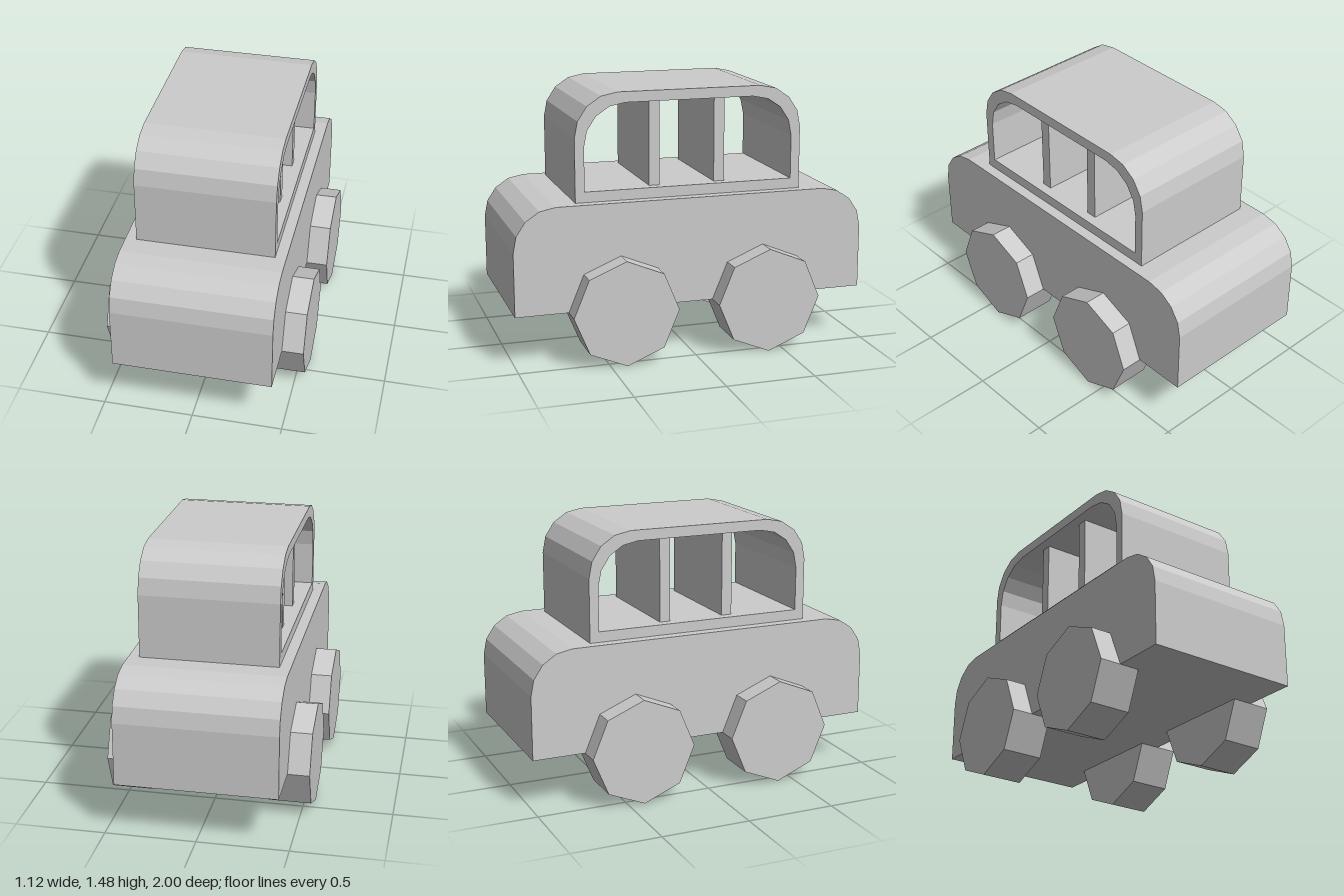
import * as THREE from 'three';

const material = new THREE.MeshStandardMaterial({ color: 0xcccccc, flatShading: true });

// Side outline: flat bottom, two rounded upper corners
function roundedTop(path, half, bottom, top, r) {
  path.moveTo(-half, bottom);
  path.lineTo(half, bottom);
  path.lineTo(half, top - r);
  path.absarc(half - r, top - r, r, 0, Math.PI / 2, false);
  path.absarc(-half + r, top - r, r, Math.PI / 2, Math.PI, false);
  path.closePath();
  return path;
}

// Extrude a side outline across the full width of the car
function acrossWidth(shape, width) {
  const g = new THREE.ExtrudeGeometry(shape, { depth: width, bevelEnabled: false, curveSegments: 2 });
  return g.translate(0, 0, -width / 2).rotateY(Math.PI / 2);
}

export function createModel() {
  const car = new THREE.Group();
  car.name = 'toyCar';
  const add = (name, geometry, x = 0, y = 0, z = 0) => {
    const mesh = new THREE.Mesh(geometry, material);
    mesh.name = name;
    mesh.position.set(x, y, z);
    car.add(mesh);
  };

  // Solid lower body
  add('body', acrossWidth(roundedTop(new THREE.Shape(), 1, 0.295, 0.885, 0.235), 0.88));

  // Cabin shell, open at both sides
  const cabin = roundedTop(new THREE.Shape(), 0.645, 0.885, 1.475, 0.24);
  cabin.holes.push(roundedTop(new THREE.Path(), 0.593, 0.943, 1.417, 0.23));
  add('cabin', acrossWidth(cabin, 0.76));

  // Partitions between the windows, set in from the cabin sides
  for (const z of [-0.187, 0.187]) {
    add('partition', new THREE.BoxGeometry(0.65, 0.48, 0.06), 0, 1.18, z);
  }

  // Eight-sided wheels
  const wheel = new THREE.CylinderGeometry(0.295, 0.295, 0.235, 8).rotateZ(Math.PI / 2);
  for (const x of [-1, 1]) {
    for (const z of [-1, 1]) {
      add(`${z > 0 ? 'front' : 'rear'}${x > 0 ? 'Left' : 'Right'}Wheel`, wheel, x * 0.4425, 0.295, z * 0.41);
    }
  }
  return car;
}
